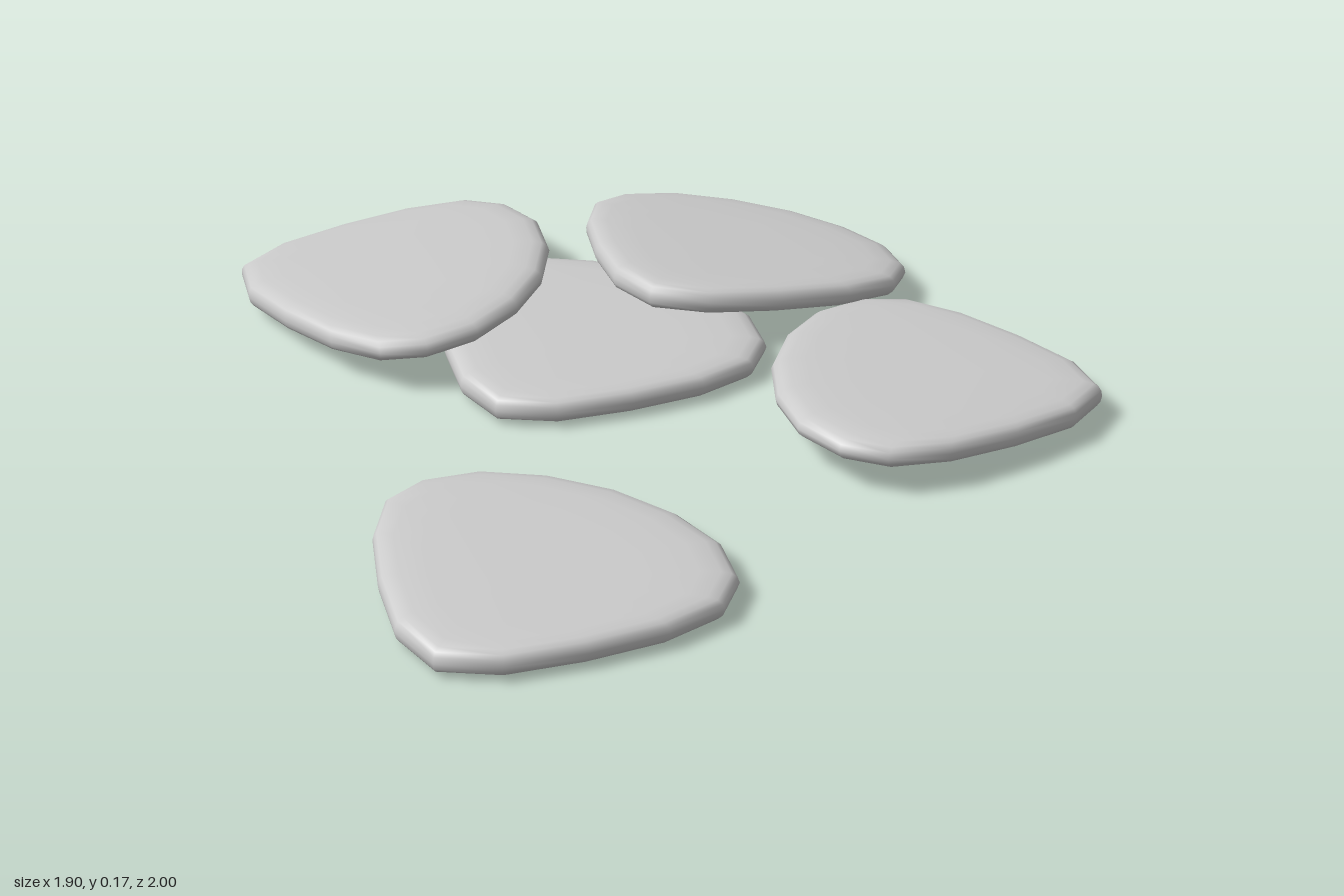
import * as THREE from 'three';
import { mergeVertices } from 'three/addons/utils/BufferGeometryUtils.js';

// Half outline of one scale, from the tip (+z) to the middle of the broad end: [x, z]
const HALF = [[0, 0.35], [0.12, 0.295], [0.235, 0.175], [0.335, 0.04], [0.386, -0.085],
  [0.365, -0.185], [0.28, -0.275], [0.15, -0.33], [0, -0.35]];
const OUTLINE = [...HALF, ...HALF.slice(1, -1).reverse().map(([x, z]) => [-x, z])];

// Rounded rim profile: [share of the outline, height]
const UPPER = [[1, 0], [0.99, 0.013], [0.965, 0.022], [0.92, 0.028], [0.83, 0.033], [0.6, 0.0355], [0, 0.037]];
const PROFILE = [...UPPER.slice(1).reverse().map(([s, y]) => [s, -y]), ...UPPER];

// A lathe whose circular rings are reshaped to the outline
function scaleGeometry() {
  const n = OUTLINE.length;
  const geo = new THREE.LatheGeometry(PROFILE.map(([s, y]) => new THREE.Vector2(s, y)), n);
  const pos = geo.attributes.position;
  for (let i = 0; i <= n; i++) {
    const [x, z] = OUTLINE[i % n];
    PROFILE.forEach(([s, y], j) => {
      // rings crowd towards the tip, so the tip is blunt and the broad end thinner
      pos.setXYZ(i * PROFILE.length + j, x * s, y, z * s + 0.1 * (1 - s));
    });
  }
  geo.deleteAttribute('uv');
  geo.deleteAttribute('normal');
  const merged = mergeVertices(geo, 1e-5);
  merged.computeVertexNormals();
  return merged;
}

// name, position, turn about y, then tilt about x and z
const SCALES = [
  ['frontScale', [0.25, 0.038, 0.645], 0, 0, 0],
  ['middleScale', [-0.14, 0.038, -0.225], 0, 0, 0],
  ['rightScale', [-0.618, 0.08, -0.215], -1.27, 0, 0.1],
  ['leftScale', [0.63, 0.065, -0.405], 1.97, -0.075, 0],
  ['backScale', [-0.01, 0.09, -0.655], 0, -0.155, 0],
];

export function createModel() {
  const group = new THREE.Group();
  group.name = 'scatteredScales';
  const geometry = scaleGeometry();
  const material = new THREE.MeshStandardMaterial({ color: 0xcccccc });
  for (const [name, position, turn, tiltX, tiltZ] of SCALES) {
    const mesh = new THREE.Mesh(geometry, material);
    mesh.name = name;
    mesh.position.set(...position);
    mesh.rotation.set(tiltX, turn, tiltZ, 'ZXY');
    group.add(mesh);
  }
  return group;
}
